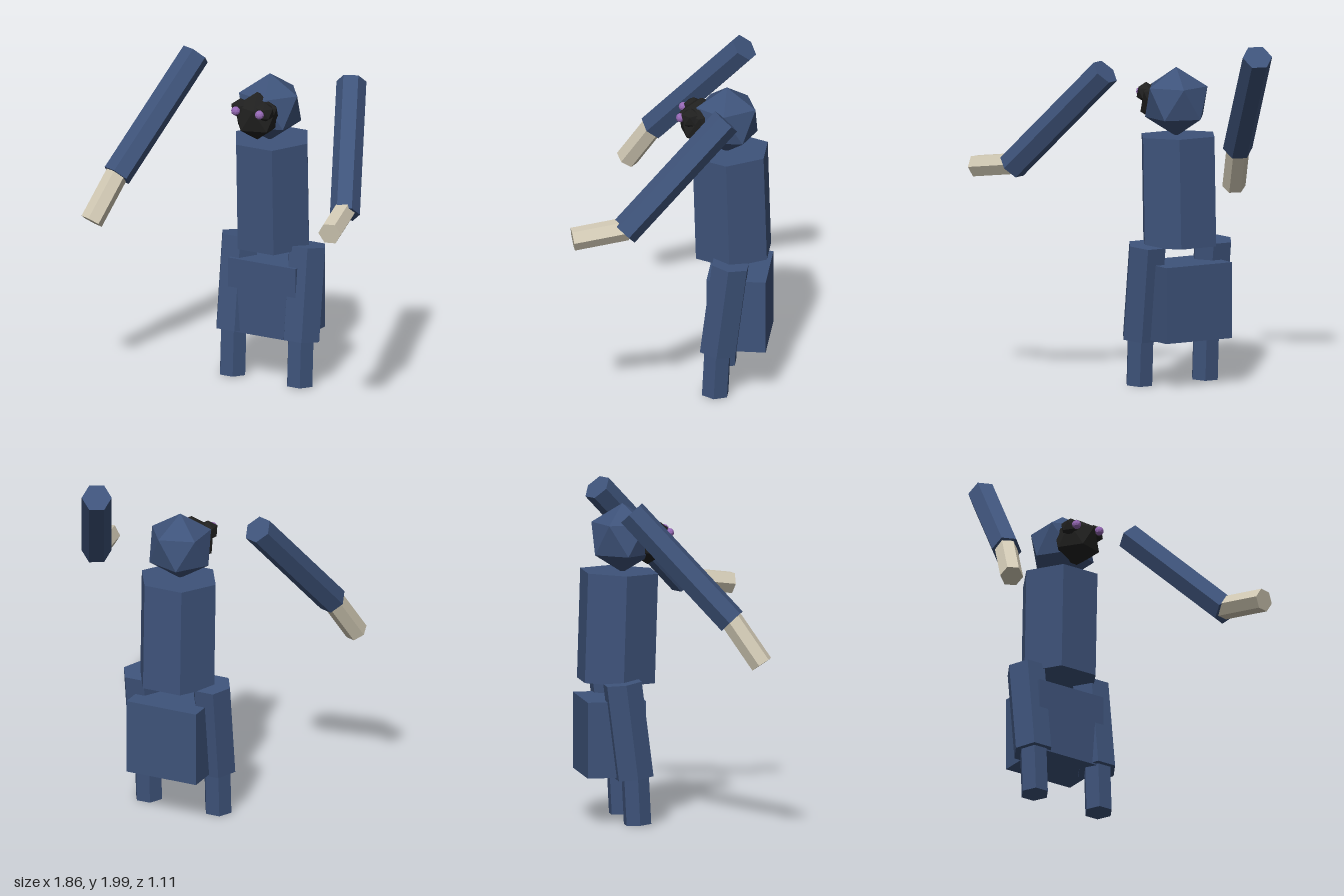
import * as THREE from 'three';

const material = (name, color) => {
  const m = new THREE.MeshStandardMaterial({ color });
  m.name = name;
  return m;
};

// Give every face its own flat normal
function facet(geometry) {
  const g = geometry.index ? geometry.toNonIndexed() : geometry;
  g.computeVertexNormals();
  return g;
}

export function createModel() {
  const blue = material('slateBlue', 0x3e537a);
  const black = material('black', 0x20201f);
  const purple = material('purple', 0x9568b4);
  const bone = material('bone', 0xd3cbb6);
  const model = new THREE.Group();
  model.name = 'figure';

  function add(name, geometry, mat, position) {
    const mesh = new THREE.Mesh(facet(geometry), mat);
    mesh.name = name;
    mesh.position.set(...position);
    model.add(mesh);
    return mesh;
  }

  // Hexagonal prism between two points, with one corner pair kept level
  function prism(name, from, to, radius, mat) {
    const a = new THREE.Vector3(...from), b = new THREE.Vector3(...to);
    const y = b.clone().sub(a);
    const length = y.length();
    y.normalize();
    const x = new THREE.Vector3(y.z, 0, -y.x).normalize();
    const z = x.clone().cross(y);
    const g = new THREE.CylinderGeometry(radius, radius, length, 6).rotateY(Math.PI / 6);
    const mesh = add(name, g, mat, a.add(b).multiplyScalar(0.5).toArray());
    mesh.quaternion.setFromRotationMatrix(new THREE.Matrix4().makeBasis(x, y, z));
  }

  // Icosahedron standing on a corner
  function ball(name, radius, mat, position, detail = 0) {
    const g = new THREE.IcosahedronGeometry(radius, detail);
    add(name, g.rotateZ(-Math.atan(2 / (1 + Math.sqrt(5)))), mat, position);
  }

  const cx = -0.024; // body centre line

  // Body
  prism('torso', [cx, 0.847, -0.335], [cx, 1.51, -0.315], 0.247, blue);
  add('hips', new THREE.BoxGeometry(0.465, 0.46, 0.357), blue, [cx, 0.52, -0.374]);

  // Head and face
  ball('head', 0.21, blue, [cx, 1.71, -0.295]);
  ball('muzzle', 0.15, black, [cx, 1.695, -0.142]);
  for (const [side, s] of [['right', -1], ['left', 1]]) {
    const x = cx + s * 0.082;
    ball(side + 'EyeSocket', 0.064, black, [x, 1.745, -0.085]);
    ball(side + 'Pupil', 0.028, purple, [x, 1.745, -0.024], 1);

    // Legs
    const lx = cx + s * 0.232;
    prism(side + 'Thigh', [lx, 0.29, -0.268], [lx, 0.865, -0.34], 0.123, blue);
    prism(side + 'Shin', [lx, 0.008, -0.248], [lx, 0.33, -0.264], 0.087, blue);
  }

  // Arms, each in its own pose
  prism('leftUpperArm', [0.51, 1.94, -0.345], [0.802, 1.313, 0.243], 0.09, blue);
  prism('leftForearm', [0.79, 1.333, 0.225], [0.868, 1.285, 0.543], 0.07, bone);
  prism('rightUpperArm', [-0.567, 1.94, -0.345], [-0.785, 1.3, 0.226], 0.09, blue);
  prism('rightForearm', [-0.785, 1.31, 0.22], [-0.863, 1.045, 0.392], 0.07, bone);

  return model;
}
